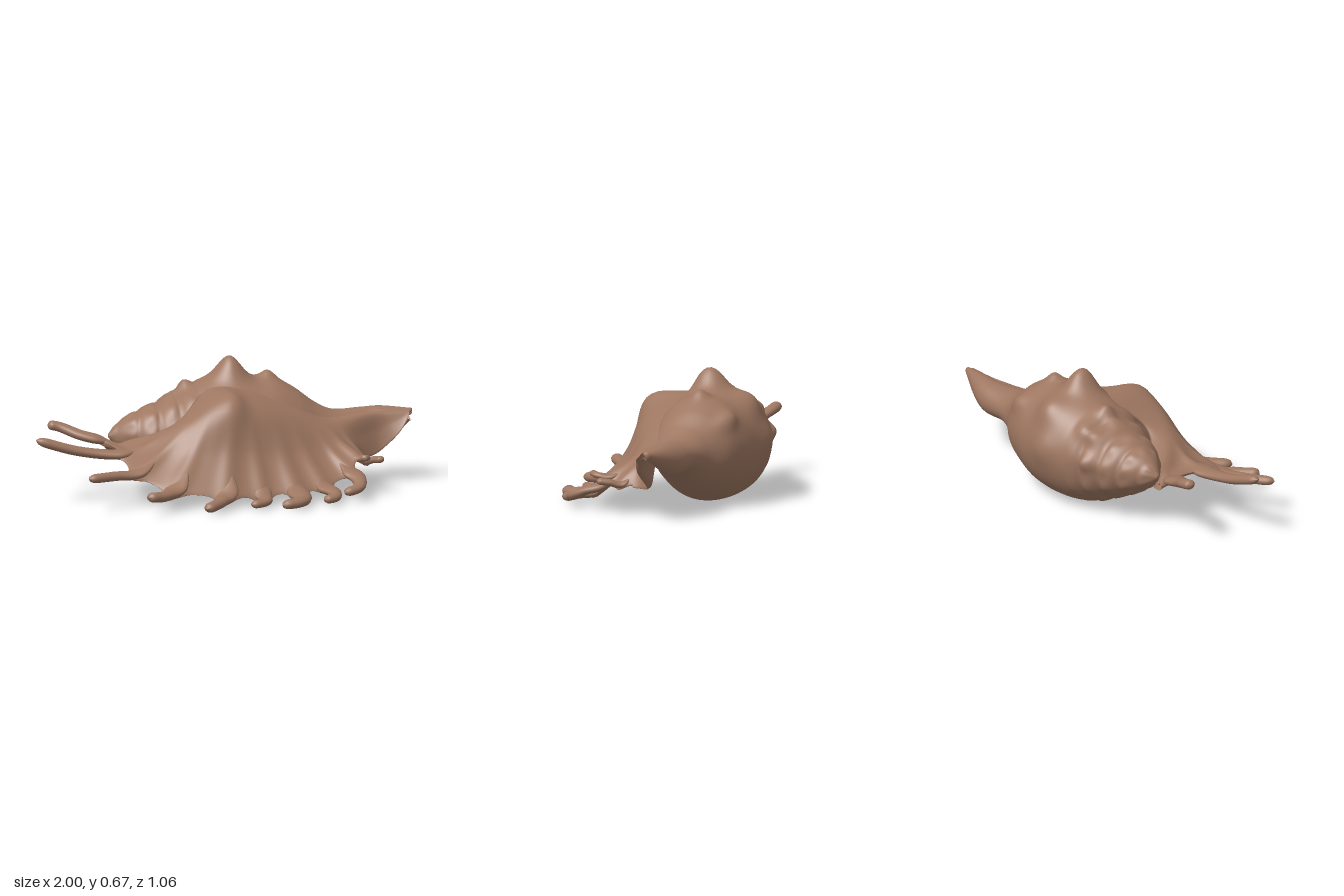
import * as THREE from 'three';

const V = (p) => new THREE.Vector3(...p);
const curve = (pts) => new THREE.CatmullRomCurve3(pts, false, 'catmullrom', 0.5);
const gauss = (d, w) => Math.exp(-(d * d) / (w * w));
const { smoothstep, clamp } = THREE.MathUtils;

// Smooth skin through closed rings of equal point count
function loft(rings, name, material) {
  const n = rings[0].length, pos = [], index = [];
  rings.forEach((r) => r.forEach((p) => pos.push(p.x, Math.max(p.y, 0.002), p.z)));
  for (let i = 0; i < rings.length - 1; i++) {
    for (let j = 0; j < n; j++) {
      const a = i * n + j, b = i * n + ((j + 1) % n);
      index.push(a, b, a + n, b, b + n, a + n);
    }
  }
  const g = new THREE.BufferGeometry();
  g.setAttribute('position', new THREE.Float32BufferAttribute(pos, 3));
  g.setIndex(index);
  g.computeVertexNormals();
  const mesh = new THREE.Mesh(g, material);
  mesh.name = name;
  return mesh;
}

// Body stations: x, top y, bottom y, back z, front z
const BODY = [
  [-0.55, 0.29, 0.27, -0.27, -0.25], [-0.5, 0.345, 0.215, -0.32, -0.2],
  [-0.42, 0.395, 0.16, -0.37, -0.13], [-0.32, 0.435, 0.11, -0.42, -0.08],
  [-0.1, 0.535, 0.02, -0.49, 0], [0.05, 0.575, 0.003, -0.515, 0.03],
  [0.2, 0.555, 0.01, -0.49, 0.03], [0.3, 0.545, 0.04, -0.46, 0.01],
  [0.4, 0.495, 0.09, -0.415, -0.01], [0.5, 0.42, 0.15, -0.335, -0.04],
  [0.6, 0.375, 0.2, -0.295, -0.06], [0.75, 0.375, 0.21, -0.28, -0.11],
  [0.85, 0.38, 0.25, -0.245, -0.12], [1.0, 0.367, 0.335, -0.16, -0.13],
];

// Knobs on the body: x, angle from the top, height, width
const KNOBS = [
  [0.07, 0.08, 0.095, 0.075], [0.27, 0.03, 0.035, 0.045], [0.08, -0.72, 0.035, 0.08],
  [0.35, -0.85, 0.03, 0.06], [0.04, -1.45, 0.018, 0.08], [-0.17, -0.05, 0.035, 0.045],
  [-0.19, -0.75, 0.025, 0.05], [-0.23, -1.4, 0.02, 0.05],
];

function bodyRings() {
  const ys = curve(BODY.map((b) => V([b[0], b[1], b[2]])));
  const zs = curve(BODY.map((b) => V([b[0], b[3], b[4]])));
  const rings = [], N = 200, M = 112;
  for (let i = 0; i <= N; i++) {
    const a = ys.getPoint(i / N), b = zs.getPoint(i / N), x = a.x;
    const cy = (a.y + a.z) / 2, cz = (b.y + b.z) / 2;
    const ry = (a.y - a.z) / 2, rz = (b.z - b.y) / 2;
    const spire = smoothstep(-x, 0.06, 0.2);
    const canal = smoothstep(x, 0.55, 0.8);
    const ring = [];
    for (let j = 0; j < M; j++) {
      const t = (j / M) * Math.PI * 2, s = t > Math.PI ? t - 2 * Math.PI : t;
      // winding sutures with beaded shoulders on the spire
      const f = ((x + 1 + 0.1 * t / (2 * Math.PI)) / 0.1) % 1;
      let k = 1 + spire * (0.03 * Math.sin(f * Math.PI) - 0.05 * gauss(Math.min(f, 1 - f), 0.17)
        + 0.022 * Math.cos(9 * t) * gauss(f - 0.6, 0.25));
      // groove along the canal
      k *= 1 - 0.65 * canal * gauss(s - 2.1, 0.65);
      let h = 0;
      for (const [kx, kt, kh, kw] of KNOBS) h += kh * gauss(x - kx, kw) * gauss((s - kt) * 0.28, kw);
      ring.push(V([x, cy + (ry * k + h) * Math.cos(t), cz + (rz * k + h) * Math.sin(t)]));
    }
    rings.push(ring);
  }
  const cap = (r) => {
    const c = r.reduce((m, p) => m.add(p), V([0, 0, 0])).divideScalar(r.length);
    return r.map(() => c.clone());
  };
  return [cap(rings[0]), ...rings, cap(rings[N])];
}

// Flared lip: three guide lines from the spire to the canal tip
const CREST = curve([
  [-.45, .235, -.24], [-.27, .355, -.06], [-.15, .46, -.09], [-.04, .535, -.21], [.15, .55, -.25],
  [.36, .498, -.24], [.54, .375, -.21], [.765, .355, -.19], [.985, .345, -.155],
].map(V));
const SHOULDER = curve([
  [-.5, .25, -.25], [-.37, .325, -.03], [-.22, .405, .075], [-.055, .485, .11], [.135, .45, .08],
  [.37, .39, .01], [.56, .34, -.05], [.775, .352, -.118], [.985, .362, -.125],
].map(V));
const EDGE = curve([
  [-.57, .26, -.26], [-.6, .27, -.2], [-.57, .25, -.08], [-.58, .24, .03], [-.55, .18, .17],
  [-.45, .11, .26], [-.29, .07, .33], [-.1, .05, .35], [.1, .04, .33], [.25, .05, .32],
  [.42, .06, .28], [.56, .1, .22], [.64, .18, .16], [.7, .15, .06], [.73, .14, -.04],
  [.82, .16, -.1], [.91, .25, -.075], [.965, .325, -.085],
].map(V));
const U = EDGE.points.length - 1;

// Fingers: place along the lip, radius, points beyond the edge
const FINGERS = [
  [0.85, .037, [[-.7, .295, -.245], [-.79, .33, -.295], [-.855, .345, -.305]]],
  [3, .037, [[-.78, .265, .02], [-1, .33, .01]]],
  [4.25, .035, [[-.65, .17, .235], [-.8, .175, .305]]],
  [5.6, .039, [[-.43, .085, .39], [-.53, .095, .45]]],
  [7, .039, [[-.15, .045, .42], [-.245, .035, .525]]],
  [8, .032, [[.095, .035, .4], [.01, .03, .45]]],
  [9.2, .038, [[.285, .04, .41], [.25, .035, .47], [.155, .03, .495]]],
  [10.1, .033, [[.46, .055, .36], [.45, .04, .415], [.39, .035, .44]]],
  [11.3, .035, [[.61, .1, .28], [.59, .07, .35], [.51, .055, .385]]],
  [12.2, .024, [[.67, .19, .2], [.645, .2, .24]]],
  [12.9, .026, [[.735, .165, .12], [.762, .175, .18]]],
];
const nearFinger = (u) => FINGERS.reduce((sum, [fu]) => sum + gauss(u - fu, 0.3), 0);

function lipSection(u) {
  const t = clamp(u / U, 0, 1);
  const shoulder = SHOULDER.getPoint(t), edge = EDGE.getPoint(t);
  // hollow slope halfway down
  const slope = shoulder.clone().lerp(edge, 0.5);
  slope.y -= 0.03 * (1 - smoothstep(u, 11, 14));
  // the edge reaches out between notches at every finger
  const out = edge.clone().sub(slope).normalize();
  edge.addScaledVector(out, 0.045 * nearFinger(u) - (u < 13.5 ? 0.012 : 0));
  return curve([CREST.getPoint(t), shoulder, slope, edge]);
}

function lipRings() {
  const rings = [], N = 220, M = 28, e = 0.01;
  for (let i = 0; i <= N; i++) {
    const u = (i / N) * U, top = [], under = [];
    const here = lipSection(u), before = lipSection(u - e), after = lipSection(u + e);
    const ridge = nearFinger(u);
    for (let j = 0; j <= M; j++) {
      const v = j / M, p = here.getPoint(v);
      const du = after.getPoint(v).sub(before.getPoint(v));
      const n = here.getTangent(v).cross(du).normalize();
      const round = Math.sqrt(1 - (Math.max(0, v - 0.85) / 0.15) ** 2 * 0.999);
      // ridges run up from the fingers, and one knob sits on the shoulder
      const lift = 0.018 * ridge * smoothstep(v, 0.35, 0.9)
        + 0.025 * gauss(u - 7.1, 0.7) * gauss(v - 0.33, 0.13);
      top.push(p.clone().addScaledVector(n, lift * (0.3 + 0.7 * round)));
      under.push(p.clone().addScaledVector(n, -0.004 - 0.02 * round));
    }
    rings.push([...top, ...under.reverse()]);
  }
  return rings;
}

// Tapered finger that rises out of the lip and ends in a rounded tip
function fingerRings([u, radius, beyond]) {
  const root = lipSection(u);
  const path = curve([root.getPoint(0.66), root.getPoint(0.92), ...beyond.map(V)]);
  const rings = [], N = 40, M = 16;
  for (let i = 0; i <= N; i++) {
    const t = i / N, p = path.getPoint(t), d = path.getTangent(t);
    const side = V([0, 1, 0]).cross(d).normalize(), up = d.clone().cross(side);
    const tip = Math.sqrt(1 - (Math.max(0, t - 0.9) / 0.1) ** 2 * 0.999);
    const r = radius * (1.2 - 0.42 * t) * tip * (0.1 + 0.9 * smoothstep(t, 0, 0.35));
    const w = r * (1 + 0.5 * gauss(t - 0.3, 0.2)), h = r * (0.5 + 0.35 * t);
    rings.push(Array.from({ length: M }, (_, j) => {
      const a = (j / M) * Math.PI * 2;
      return p.clone().addScaledVector(side, w * Math.cos(a)).addScaledVector(up, h * Math.sin(a));
    }));
  }
  return rings;
}

export function createModel() {
  const shell = new THREE.MeshStandardMaterial({ color: 0x9e7761, side: THREE.DoubleSide });
  shell.name = 'warm brown shell';
  const group = new THREE.Group();
  group.name = 'seaShell';
  group.add(loft(bodyRings(), 'bodyWhorl', shell));
  group.add(loft(lipRings(), 'flaredLip', shell));
  FINGERS.forEach((f, i) => group.add(loft(fingerRings(f), `lipFinger${i + 1}`, shell)));
  return group;
}
